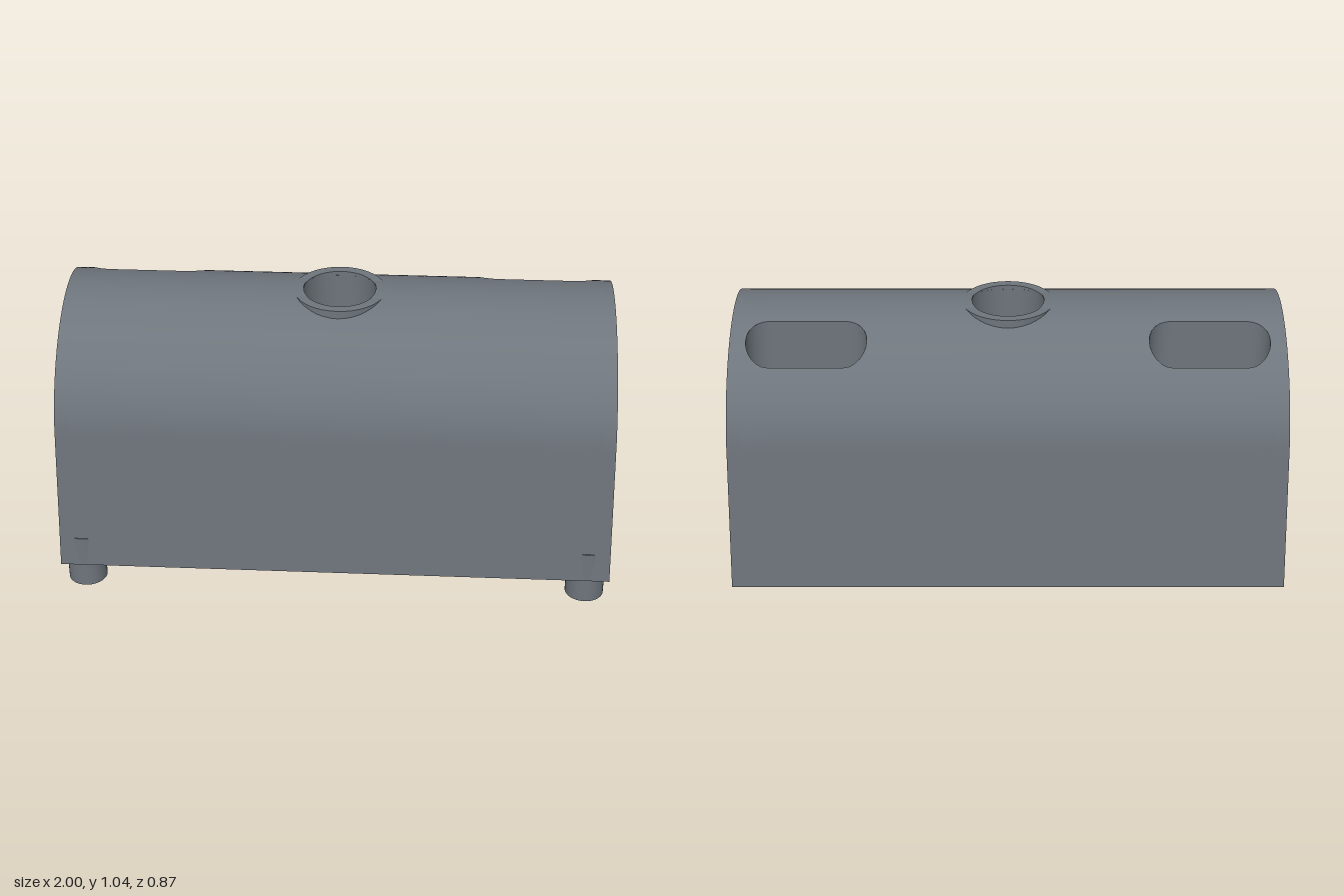
import * as THREE from 'three';
import { toCreasedNormals } from 'three/addons/utils/BufferGeometryUtils.js';

const BASE = 0.1, CEIL = 0.69, FLOOR = 0.75;   // underside, pocket ceiling, recess floor
const R = 0.411, CY = 0.634;                   // roof arc radius and centre height
const END = 0.94;                              // where the end walls begin
const REC = { x: 0.7075, z: -0.215, half: 0.1325, r: 0.08 }; // oblong roof recess
const BORE = 0.13;

const roofY = z => CY + Math.sqrt(Math.max(0, R * R - z * z));
const crease = g => toCreasedNormals(g, 0.5);

// Points of an oblong outline with straight half-length h and radius r
function oblong(cx, cz, h, r, n = 10) {
  const pts = [];
  for (const s of [1, -1]) for (let i = 0; i <= n; i++) {
    const a = -Math.PI / 2 + Math.PI * i / n;
    pts.push(new THREE.Vector2(cx + s * (h + r * Math.cos(a)), cz + s * r * Math.sin(a)));
  }
  return pts;
}

const rect = (x0, x1, z0, z1) => [[x0, z0], [x1, z0], [x1, z1], [x0, z1]].map(p => new THREE.Vector2(...p));

// Extrude a plan outline (x, z) between two heights
function planSolid(outline, holes, y0, y1) {
  const shape = new THREE.Shape(outline);
  shape.holes = holes.map(h => new THREE.Path(h));
  const g = new THREE.ExtrudeGeometry(shape, { depth: y1 - y0, bevelEnabled: false });
  return g.rotateX(Math.PI / 2).translate(0, y1, 0);
}

// Lean the walls inwards as they rise
function draft(g) {
  const p = g.attributes.position;
  for (let i = 0; i < p.count; i++) {
    const t = (p.getY(i) - BASE) / (CEIL - BASE);
    p.setZ(i, p.getZ(i) - Math.sign(p.getZ(i)) * 0.037 * t);
  }
  return g;
}

function geometryFrom(positions) {
  const g = new THREE.BufferGeometry();
  g.setAttribute('position', new THREE.Float32BufferAttribute(positions, 3));
  return crease(g);
}

function quad(out, a, b, c, d) {
  out.push(...a, ...b, ...c, ...a, ...c, ...d);
}

// Curved outer skin, made of strips along x that stop at the edges of the openings
function skin() {
  const zs = new Set();
  const add = z => zs.add(+z.toFixed(5));
  for (let i = 0; i <= 40; i++) add(R * Math.cos(Math.PI * i / 40));
  for (let i = 0; i <= 12; i++) {
    const c = Math.cos(Math.PI * i / 12);
    add(BORE * c);
    add(REC.z + REC.r * c);
  }
  const rows = [...zs].sort((a, b) => b - a).map(z => [z, roofY(z)]);
  rows.unshift([0.435, BASE]);
  rows.push([-0.435, BASE]);

  const chord = (r, d) => Math.sqrt(Math.max(0, r * r - d * d));
  const edges = z => {
    const o = REC.half + chord(REC.r, z - REC.z), c = chord(BORE, z);
    return [-END, -REC.x - o, -REC.x + o, -c, c, REC.x - o, REC.x + o, END];
  };
  const out = [];
  for (let i = 0; i < rows.length - 1; i++) {
    const [z0, y0] = rows[i], [z1, y1] = rows[i + 1], mid = (z0 + z1) / 2;
    const a = edges(z0), b = edges(z1);
    for (let k = 0; k < 7; k++) {
      const open = k === 3 ? Math.abs(mid) < BORE : k % 2 === 1 && Math.abs(mid - REC.z) < REC.r;
      if (!open) quad(out, [a[k], y0, z0], [a[k + 1], y0, z0], [b[k + 1], y1, z1], [b[k], y1, z1]);
    }
  }
  return geometryFrom(out);
}

// Upright wall of a roof recess
function recessWall(cx) {
  const pts = oblong(cx, REC.z, REC.half, REC.r, 12), out = [];
  pts.forEach((p, i) => {
    const q = pts[(i + 1) % pts.length];
    quad(out, [p.x, FLOOR, p.y], [q.x, FLOOR, q.y], [q.x, roofY(q.y), q.y], [p.x, roofY(p.y), p.y]);
  });
  return geometryFrom(out);
}

// Arched end wall with its tapering slot; the outer face leans inwards
function endWall(side) {
  const s = new THREE.Shape();
  s.moveTo(0.105, BASE);
  s.lineTo(0.435, BASE);
  for (let i = 0; i <= 40; i++) {
    const a = Math.PI * i / 40;
    s.lineTo(R * Math.cos(a), CY + R * Math.sin(a));
  }
  s.lineTo(-0.435, BASE);
  s.lineTo(-0.105, BASE);
  for (let i = 0; i <= 12; i++) {
    const a = Math.PI * (1 - i / 12);
    s.lineTo(0.067 * Math.cos(a), 0.63 + 0.067 * Math.sin(a));
  }
  const g = new THREE.ExtrudeGeometry(s, { depth: 1 - END, bevelEnabled: false, curveSegments: 1 });
  g.rotateY(side * Math.PI / 2).translate(side * END, 0, 0);
  const p = g.attributes.position;
  for (let i = 0; i < p.count; i++) {
    if (Math.abs(p.getX(i)) > 0.97) p.setX(i, side * (1 - 0.025 * (p.getY(i) - BASE) / 0.945));
  }
  return crease(g);
}

const lathe = pts => crease(new THREE.LatheGeometry(pts.map(p => new THREE.Vector2(...p)), 40));

export function createModel() {
  const group = new THREE.Group();
  group.name = 'archedHousing';
  const grey = new THREE.MeshStandardMaterial({ color: 0x6e757c, side: THREE.DoubleSide });
  grey.name = 'slateGrey';
  const add = (name, geometry, x = 0, z = 0) => {
    const m = new THREE.Mesh(geometry, grey);
    m.name = name;
    m.position.set(x, 0, z);
    group.add(m);
  };

  add('outerSkin', skin());

  // Front half of the underside with four pockets
  const frontPockets = [];
  for (const s of [1, -1]) for (const [a, b] of [[0.07, 0.4], [0.47, 0.82]]) {
    frontPockets.push(rect(Math.min(s * a, s * b), Math.max(s * a, s * b), 0.155, 0.375));
  }
  add('frontRibs', crease(draft(planSolid(rect(-END, END, 0.1, 0.435), frontPockets, BASE, CEIL))));

  // Back wall with a boxed pocket in the middle
  const backPlan = [[-END, -0.435], [END, -0.435], [END, -0.37], [0.43, -0.37], [0.43, -0.1],
    [-0.43, -0.1], [-0.43, -0.37], [-END, -0.37]].map(p => new THREE.Vector2(...p));
  add('backRibs', crease(draft(planSolid(backPlan, [rect(-0.37, 0.37, -0.365, -0.145)], BASE, CEIL))));

  // Ceiling plate, also the floor of the recesses, with its slotted holes
  const slots = [oblong(0, 0, 0, 0.1)];
  for (const s of [1, -1]) for (const x of [0.61, 0.807]) slots.push(oblong(s * x, REC.z, 0.039, 0.041));
  add('slottedPlate', crease(planSolid(rect(-END, END, -0.38, 0.38), slots, CEIL, FLOOR)));

  // Central screw hub with a counterbore
  add('centreHub', lathe([[0.065, BASE], [0.165, BASE], [0.165, 1.04], [BORE, 1.04],
    [BORE, 0.8], [0.065, 0.8], [0.065, BASE]]));

  // Paired parts
  for (const s of [1, -1]) {
    add('endWall', endWall(s));
    add('roofRecess', recessWall(s * REC.x));
    add('peg', lathe([[0, 0.05], [0.02, 0.05], [0.02, 0], [0.07, 0], [0.07, BASE + 0.01]]), s * 0.918, 0.355);
    add('pegCollar', new THREE.CylinderGeometry(0.08, 0.08, 0.115, 40).translate(0, BASE + 0.0575, 0), s * 0.918, 0.355);
  }
  return group;
}
